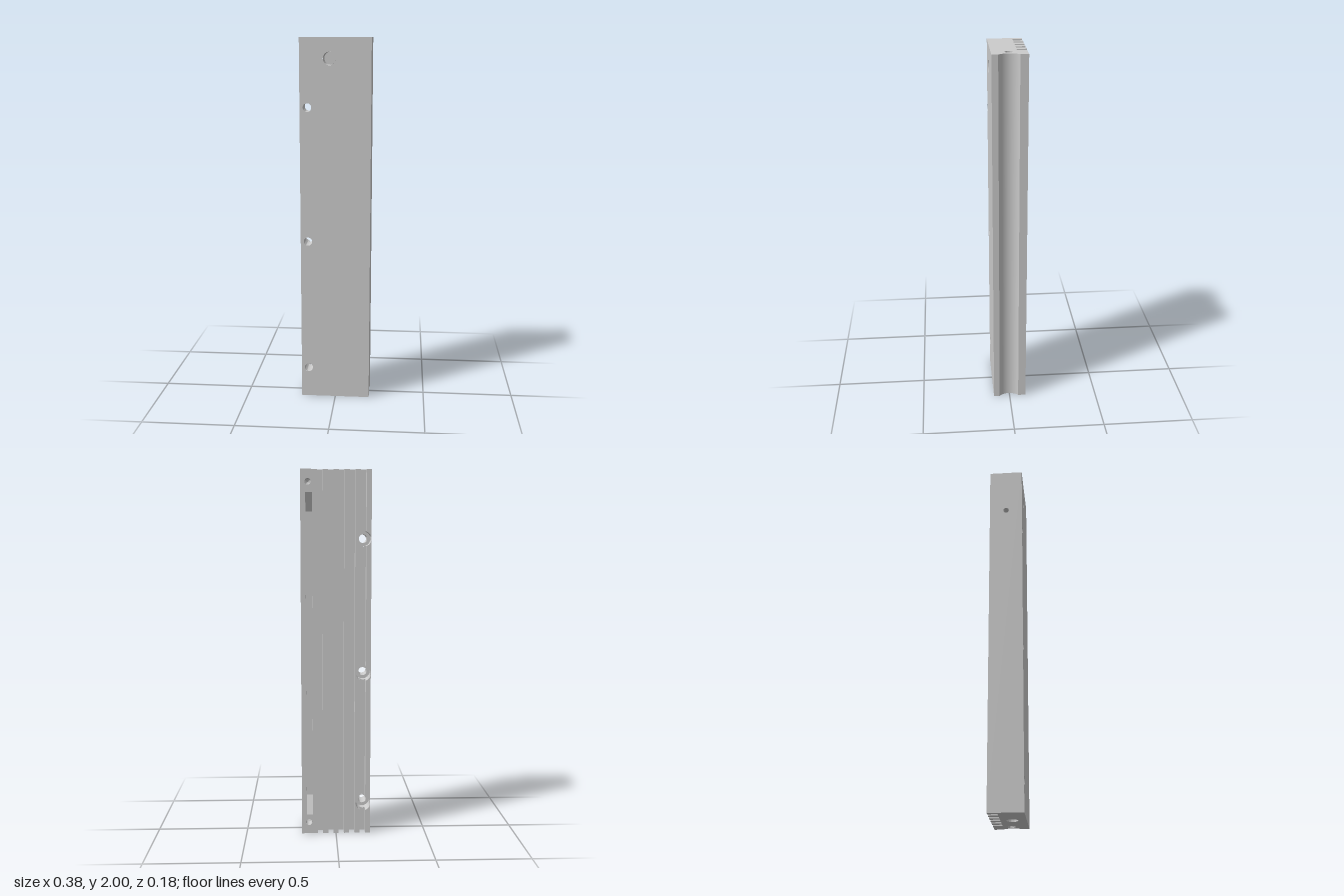
import * as THREE from 'three';
import { toCreasedNormals } from 'three/addons/utils/BufferGeometryUtils.js';

const H = 2, FRONT = 0.091, BACK = -0.093, FLOOR = -0.042, HALF = 0.19;
const SCREW = { x: -0.15, ys: [0.17, 0.905, 1.635], r: 0.023, R: 0.04, seat: -0.005 };
const SLOT = { x0: 0.128, x1: 0.163, y0: 0.11, y1: 1.88, ramp: 0.1, depth: 0.045 };
const CHANNEL = { x: 0.242, z: 0.004, r: 0.075, half: Math.acos(0.052 / 0.075) };

export function createModel() {
  const group = new THREE.Group();
  const solid = new THREE.MeshStandardMaterial({ color: 0xcccccc });
  const open = new THREE.MeshStandardMaterial({ color: 0xcccccc, side: THREE.DoubleSide });
  const add = (name, geometry, material = solid) => {
    const mesh = new THREE.Mesh(geometry, material);
    mesh.name = name;
    group.add(mesh);
    return mesh;
  };
  const circle = (x, y, r) => new THREE.Path().absarc(x, y, r, 0, Math.PI * 2, true);
  const polygon = (pts) => new THREE.Shape(pts.map(([x, y]) => new THREE.Vector2(x, y)));

  // Half height of the screw counterbore at a given x
  const notch = (x) => Math.sqrt(Math.max(0, SCREW.R ** 2 - (x - SCREW.x) ** 2));

  // Upright wall over the plan edge a -> b; holes are in (distance along edge, y)
  function wall(name, a, b, holes = [], notched = false) {
    const d = new THREE.Vector3(b[0] - a[0], 0, b[1] - a[1]);
    const len = d.length(), up = new THREE.Vector3(0, 1, 0);
    d.normalize();
    const m = new THREE.Matrix4().makeBasis(d, up, d.clone().cross(up)).setPosition(a[0], 0, a[1]);
    const ys = notched ? SCREW.ys : [];
    const n = notched && d.x !== 0 ? 24 : 1;
    for (let k = 0; k <= ys.length; k++) {
      const low = [], high = [];
      for (let i = 0; i <= n; i++) {
        const s = (len * i) / n, h = notch(a[0] + d.x * s);
        low.push([s, k > 0 ? ys[k - 1] + h : 0]);
        high.unshift([s, k < ys.length ? ys[k] - h : H]);
      }
      const shape = polygon([...low, ...high]);
      shape.holes.push(...holes);
      add(name, new THREE.ShapeGeometry(shape, 32).applyMatrix4(m));
    }
  }

  // Inside of a bore, turned from [radius, depth] points
  function bore(name, profile, at, dir, phi = 0, sweep = Math.PI * 2) {
    const pts = profile.map(([r, d]) => new THREE.Vector2(r, d));
    const geo = toCreasedNormals(new THREE.LatheGeometry(pts, 32, phi, sweep), 0.5);
    const mesh = add(name, geo, open);
    mesh.position.set(...at);
    mesh.quaternion.setFromUnitVectors(new THREE.Vector3(0, 1, 0), new THREE.Vector3(...dir));
  }

  // Plan outline: front, channel side, then fins along the back
  const fins = [[0.101, HALF], [0.043, 0.072], [-0.015, 0.013], [-0.074, -0.044], [-0.132, -0.103], [-HALF, -0.163]];
  const arc = [];
  for (let i = 0; i <= 24; i++) {
    const t = CHANNEL.half * (1 - (2 * i) / 24);
    arc.push([CHANNEL.x - CHANNEL.r * Math.cos(t), CHANNEL.z + CHANNEL.r * Math.sin(t)]);
  }
  const outline = [[-HALF, FRONT], [HALF, FRONT], ...arc];
  fins.forEach(([x0, x1], i) => {
    if (i > 0) outline.push([x1, FLOOR]);
    outline.push([x1, BACK], [x0, BACK]);
    if (i < fins.length - 1) outline.push([x0, FLOOR]);
  });

  // Front, flat side and channel side
  wall('frontFace', [-HALF, FRONT], [HALF, FRONT], [
    ...SCREW.ys.map((y) => circle(SCREW.x + HALF, y, SCREW.r)),
    circle(-0.03 + HALF, 1.89, 0.035),
  ]);
  wall('flatSide', [-HALF, BACK], [-HALF, FRONT], [circle(-BACK, 1.74, 0.016)]);
  wall('channelLip', [HALF, FRONT], arc[0]);
  wall('channelLip', arc[24], [HALF, BACK]);
  const channel = new THREE.CylinderGeometry(CHANNEL.r, CHANNEL.r, H, 32, 1, true,
    -Math.PI / 2 - CHANNEL.half, CHANNEL.half * 2);
  add('channel', channel.translate(CHANNEL.x, H / 2, CHANNEL.z), open);

  // Fins and groove floors
  fins.forEach(([x0, x1], i) => {
    const cut = x1 < -0.1;
    const slot = new THREE.Path([[x1 - SLOT.x0, SLOT.y0], [x1 - SLOT.x1, SLOT.y0], [x1 - SLOT.x1, SLOT.y1],
      [x1 - SLOT.x0, SLOT.y1]].map(([x, y]) => new THREE.Vector2(x, y)));
    wall('finBack', [x1, BACK], [x0, BACK],
      i === 0 ? [circle(x1 - 0.15, 0.065, 0.017), circle(x1 - 0.15, 1.935, 0.017), slot] : [], cut);
    if (i > 0) wall('finSide', [x1, FLOOR], [x1, BACK], [], cut);
    if (i < fins.length - 1) {
      wall('finSide', [x0, BACK], [x0, FLOOR], [], cut);
      wall('grooveFloor', [x0, FLOOR], [fins[i + 1][1], FLOOR], [], x0 < -0.1);
    }
  });

  // End faces
  for (const top of [true, false]) {
    const s = top ? -1 : 1;
    const pts = outline.map(([x, z]) => [x, z * s]);
    const shape = polygon(pts);
    shape.holes.push(circle(0.132, 0.002 * s, 0.02));
    if (!top) shape.holes.push(circle(-0.015, 0.018, 0.03));
    const geo = new THREE.ShapeGeometry(shape, 32).rotateX((s * Math.PI) / 2);
    add(top ? 'topEnd' : 'bottomEnd', geo.translate(0, top ? H : 0, 0));
  }

  // Screw holes with counterbores that bite into the two outer fins
  const { R, r, seat } = SCREW;
  for (const y of SCREW.ys) {
    bore('screwHole', [[R, FLOOR], [R, seat], [r, seat], [r, FRONT]], [SCREW.x, y, 0], [0, 0, 1]);
    for (const [mid, edge] of [[-Math.PI / 2, 0.013], [Math.PI / 2, 0.018]]) {
      const a = Math.acos(edge / R);
      bore('counterbore', [[R, BACK], [R, FLOOR]], [SCREW.x, y, 0], [0, 0, 1], mid - a, a * 2);
    }
  }

  // Blind bores
  const blind = (rad, depth, tip = 0) => [[rad, 0], [rad, depth], [0, depth + tip]];
  bore('frontPort', blind(0.035, 0.09), [-0.03, 1.89, FRONT], [0, 0, -1]);
  bore('sidePort', blind(0.016, 0.08, 0.01), [-HALF, 1.74, 0], [1, 0, 0]);
  bore('bottomPort', blind(0.03, 1.75, 0.02), [-0.015, 0, 0.018], [0, 1, 0]);
  bore('endHole', blind(0.02, 0.12, 0.012), [0.132, H, 0.002], [0, -1, 0]);
  bore('endHole', blind(0.02, 0.12, 0.012), [0.132, 0, 0.002], [0, 1, 0]);
  for (const y of [0.065, 1.935]) bore('backHole', blind(0.017, 0.06, 0.008), [0.15, y, BACK], [0, 0, 1]);

  // Long slot in the thick block, with a ramp at each end
  const deep = BACK + SLOT.depth;
  const path = [[SLOT.y0, BACK], [SLOT.y0 + SLOT.ramp, deep], [SLOT.y1 - SLOT.ramp, deep], [SLOT.y1, BACK]];
  const side = polygon(path.map(([y, z]) => [-z, y]));
  for (const x of [SLOT.x0, SLOT.x1])
    add('slotWall', new THREE.ShapeGeometry(side).rotateY(Math.PI / 2).translate(x, 0, 0), open);
  for (let i = 0; i < 3; i++) {
    const [y0, z0] = path[i], [y1, z1] = path[i + 1];
    const geo = new THREE.PlaneGeometry(SLOT.x1 - SLOT.x0, Math.hypot(y1 - y0, z1 - z0));
    geo.rotateX(Math.atan2(z1 - z0, y1 - y0));
    geo.translate((SLOT.x0 + SLOT.x1) / 2, (y0 + y1) / 2, (z0 + z1) / 2);
    add('slotFloor', geo, open);
  }
  return group;
}
